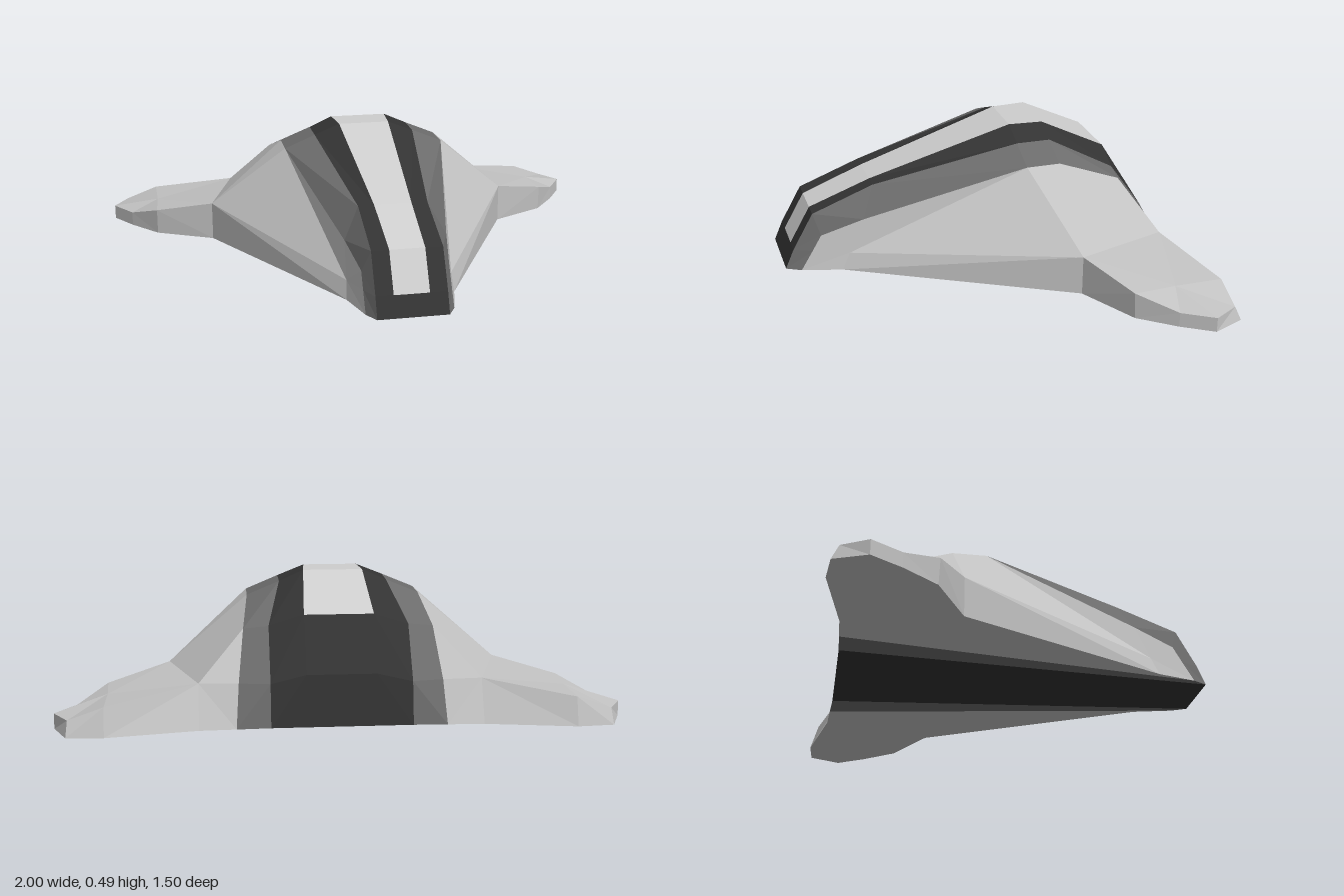
import * as THREE from 'three';

const material = (name, color) => {
  const m = new THREE.MeshStandardMaterial({ color });
  m.name = name;
  return m;
};

// Flat-faceted mesh from polygons listed for the +x half, mirrored to -x
function mirroredMesh(name, mat, polygons) {
  const pos = [];
  for (const poly of polygons) {
    for (let i = 1; i < poly.length - 1; i++) {
      const [a, b, c] = [poly[0], poly[i], poly[i + 1]];
      pos.push(...a, ...b, ...c);
      for (const p of [a, c, b]) pos.push(-p[0], p[1], p[2]);
    }
  }
  const geo = new THREE.BufferGeometry();
  geo.setAttribute('position', new THREE.Float32BufferAttribute(pos, 3));
  geo.computeVertexNormals();
  const mesh = new THREE.Mesh(geo, mat);
  mesh.name = name;
  return mesh;
}

// Quads between two lengthwise edges running from nose to tail
function strip(inner, outer, from, to) {
  const quads = [];
  for (let i = from; i < to; i++) quads.push([inner[i], outer[i], outer[i + 1], inner[i + 1]]);
  return quads;
}

export function createModel() {
  const lightGrey = material('light grey', 0xc2c2c2);
  const paleStripe = material('pale stripe', 0xcecece);
  const midGrey = material('mid grey', 0x6c6c6c);
  const darkGrey = material('dark grey', 0x333333);

  // Lengthwise edges, nose underside to tail underside: stripe edge, spine edge, trim edge
  const a = [[0.065, 0.015, 0.745], [0.065, 0.09, 0.713], [0.065, 0.23, 0.635], [0.07, 0.32, 0.4],
    [0.10, 0.49, -0.15], [0.11, 0.49, -0.28], [0.125, 0.37, -0.53], [0.125, 0.18, -0.65], [0.125, 0, -0.68]];
  const b = [[0.13, 0.015, 0.745], [0.13, 0.09, 0.713], [0.13, 0.23, 0.635], [0.13, 0.32, 0.4],
    [0.20, 0.45, -0.15], [0.20, 0.45, -0.28], [0.25, 0.33, -0.52], [0.25, 0.15, -0.65], [0.25, 0, -0.68]];
  const c = [[0.16, 0.015, 0.69], [0.16, 0.09, 0.645], [0.16, 0.15, 0.61], [0.19, 0.21, 0.45],
    [0.32, 0.40, -0.15], [0.32, 0.40, -0.28], [0.34, 0.32, -0.51], [0.36, 0.15, -0.63], [0.37, 0, -0.685]];
  const o = a.map(([, y, z]) => [0, y, z]);

  // Side corner behind the nose
  const sideTop = [0.195, 0.08, 0.51], sideLow = [0.2, 0.015, 0.54];
  // Wing rim, leading root around the tip to trailing root
  const rim = [[0.61, 0.15, -0.27], [0.83, 0.10, -0.38], [0.93, 0.055, -0.51], [1, 0.055, -0.62],
    [0.945, 0.055, -0.715], [0.82, 0.10, -0.72], [0.5, 0.15, -0.62]];
  const low = [[0.61, 0, -0.27], [0.83, 0, -0.385], [0.93, 0, -0.51], [1, 0, -0.62],
    [0.95, 0, -0.74], [0.82, 0, -0.75], [0.5, 0, -0.69]];
  const [d, l2, l3, tip, t3, t2, g] = rim;
  const mid = [0.82, 0.10, -0.54];

  const model = new THREE.Group();
  model.name = 'wingedShell';
  model.add(
    mirroredMesh('centreStripe', paleStripe, strip(o, a, 1, 6)),
    mirroredMesh('spine', darkGrey, [
      ...strip(a, b, 0, 8), ...strip(o, a, 0, 1), ...strip(o, a, 6, 8),
      [o[8], b[8], b[0], o[0]], // underside
    ]),
    mirroredMesh('trimBands', midGrey, [
      ...strip(b, c, 0, 8),
      [b[8], c[8], c[0], b[0]], // underside
    ]),
    mirroredMesh('sidePanels', lightGrey, [
      [sideTop, c[3], c[2], c[1], c[0], sideLow],
      [sideTop, d, c[4], c[3]],
      [sideLow, low[0], d, sideTop],
      [c[4], d, c[5]], [c[5], d, g], [c[5], g, c[6]], [c[6], g, c[7]],
      [g, low[6], c[8], c[7]],
      [c[8], low[0], sideLow, c[0]], // underside
    ]),
    mirroredMesh('wings', lightGrey, [
      [mid, t2, g, d, l2], [l2, l3, mid], [mid, l3, tip], [mid, tip, t3, t2],
      ...rim.slice(0, -1).map((p, i) => [low[i], low[i + 1], rim[i + 1], p]),
      [low[0], c[8], ...low.slice(1).reverse()], // underside
    ]),
  );
  return model;
}
